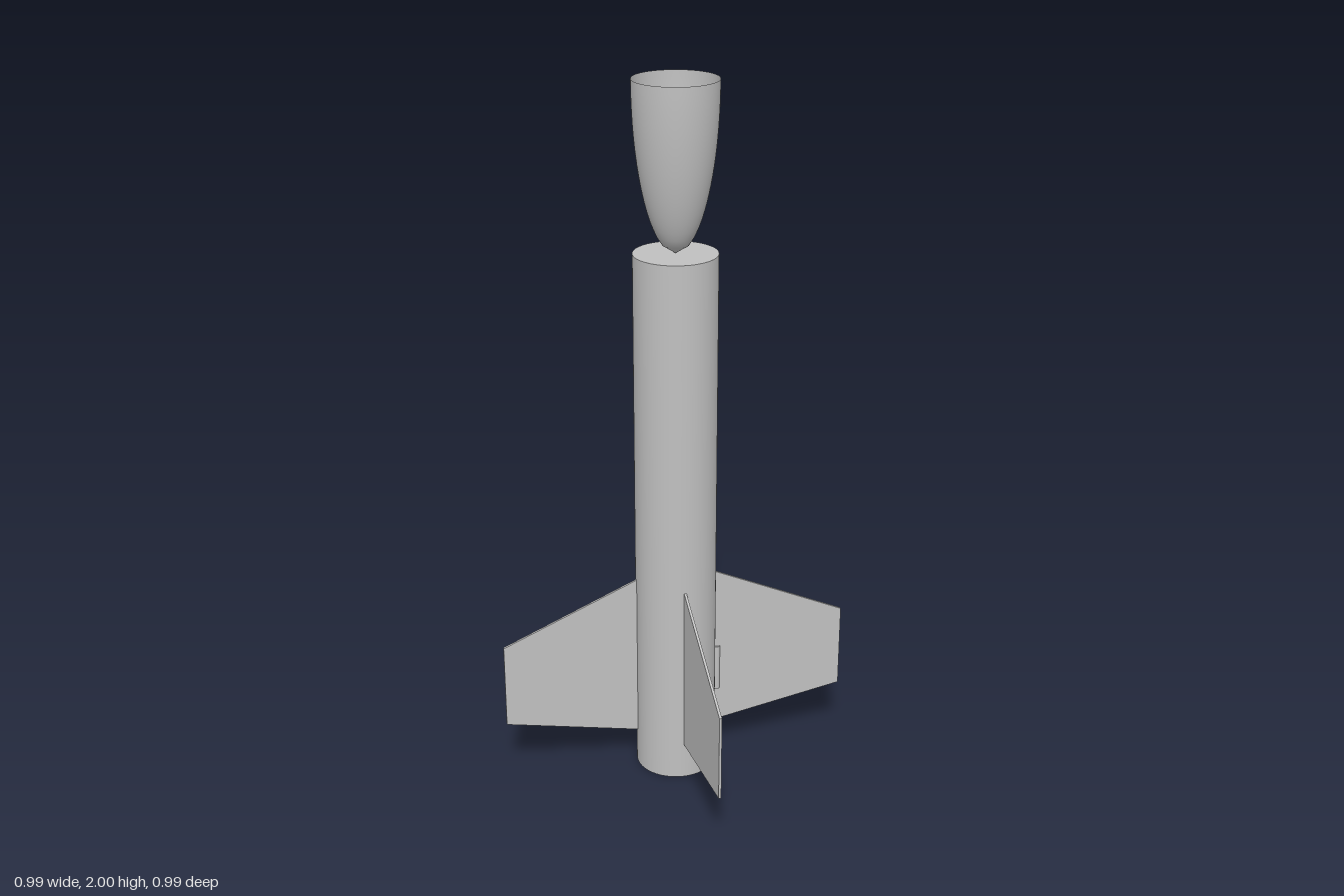
import * as THREE from 'three';

export function createModel() {
  const group = new THREE.Group();
  const grey = new THREE.MeshStandardMaterial({ color: 0xc0c0c0 });
  grey.name = 'plain grey';
  grey.side = THREE.DoubleSide;

  const R = 0.114, bodyTop = 1.545, noseLength = 0.455;
  const add = (name, geometry) => {
    const mesh = new THREE.Mesh(geometry, grey);
    mesh.name = name;
    group.add(mesh);
    return mesh;
  };

  // Closed body tube
  add('bodyTube', new THREE.CylinderGeometry(R, R, bodyTop, 64))
    .position.y = bodyTop / 2;

  // Hollow elliptical nose shell, tip down on the tube and open at the top
  const profile = [];
  const steps = 20;
  for (let i = 0; i <= steps; i++) {
    const t = i / steps;
    profile.push(new THREE.Vector2(R * Math.sqrt(1 - (1 - t) ** 2), bodyTop + noseLength * t));
  }
  add('noseShell', new THREE.LatheGeometry(profile, 64));

  // Four tapered fins of constant thickness
  const thickness = 0.007;
  const outline = new THREE.Shape([
    new THREE.Vector2(R - 0.002, 0.108),
    new THREE.Vector2(0.497, 0.182),
    new THREE.Vector2(0.497, 0.43),
    new THREE.Vector2(R - 0.002, 0.6),
  ]);
  const finGeometry = new THREE.ExtrudeGeometry(outline, { depth: thickness, bevelEnabled: false });
  finGeometry.translate(0, 0, -thickness / 2);
  for (let i = 0; i < 4; i++) add('fin' + (i + 1), finGeometry).rotation.y = i * Math.PI / 2;

  // Launch lug along the root of the left fin
  add('launchLug', new THREE.CylinderGeometry(0.01, 0.01, 0.14, 24))
    .position.set(0.122, 0.285, 0);

  return group;
}
